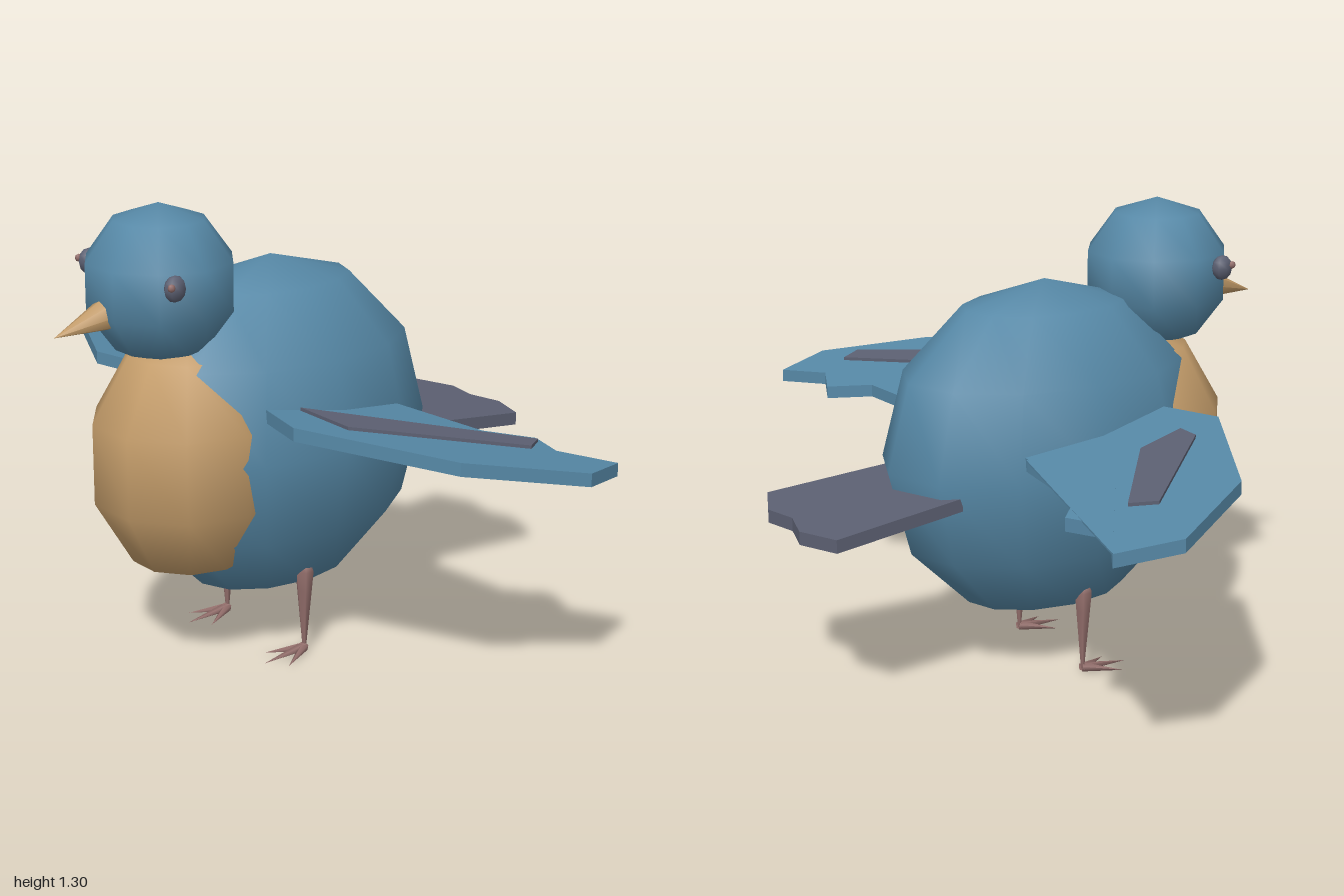
import * as THREE from 'three';

const mat = (name, color) => {
  const m = new THREE.MeshStandardMaterial({ color });
  m.name = name;
  return m;
};

export function createModel() {
  const bird = new THREE.Group();
  bird.name = 'bird';
  const blue = mat('blue plumage', 0x5688a6);
  const tan = mat('tan', 0xc29b69);
  const grey = mat('slate grey', 0x5c6072);
  const pink = mat('dusky pink', 0x946f6c);

  const add = (name, geometry, material, parent = bird) => {
    const mesh = new THREE.Mesh(geometry, material);
    mesh.name = name;
    parent.add(mesh);
    return mesh;
  };

  const ball = (name, material, center, radii, segments, rows, parent) => {
    const geometry = new THREE.SphereGeometry(1, segments, rows);
    geometry.scale(...radii);
    return add(name, geometry, material, parent).position.set(...center);
  };

  // Flat plate with an outline in x and z; its top lies at y = height + slope * z
  const plate = (name, outline, thickness, height, slope, material, side = 1) => {
    const shape = new THREE.Shape(outline.map(([x, z]) => new THREE.Vector2(x * side, z)));
    const geometry = new THREE.ExtrudeGeometry(shape, { depth: thickness, bevelEnabled: false });
    geometry.rotateX(Math.PI / 2);
    const p = geometry.attributes.position;
    for (let i = 0; i < p.count; i++) p.setY(i, p.getY(i) + height + slope * p.getZ(i));
    geometry.computeVertexNormals();
    return add(name, geometry, material);
  };

  // Cone from a base centre to a tip
  const spike = (name, base, tip, radius, sides, material, parent) => {
    const a = new THREE.Vector3(...base);
    const d = new THREE.Vector3(...tip).sub(a);
    const length = d.length();
    const geometry = new THREE.ConeGeometry(radius, length, sides);
    geometry.translate(0, length / 2, 0);
    const mesh = add(name, geometry, material, parent);
    mesh.quaternion.setFromUnitVectors(new THREE.Vector3(0, 1, 0), d.normalize());
    mesh.position.copy(a);
  };

  // Body, breast and head
  ball('body', blue, [0, 0.626, 0.05], [0.33, 0.485, 0.49], 12, 6);
  ball('breast', tan, [0, 0.6, 0.33], [0.27, 0.36, 0.288], 10, 5);
  ball('head', blue, [0, 1.09, 0.42], [0.212, 0.212, 0.21], 10, 5);
  spike('beak', [0, 1.04, 0.56], [0, 0.997, 0.75], 0.052, 8, tan);

  // Tail
  plate('tail', [
    [-0.19, -0.315], [-0.22, -0.7], [-0.1, -0.75], [0, -0.725],
    [0.1, -0.75], [0.22, -0.7], [0.19, -0.315],
  ], 0.037, 0.622, 0.094, grey);

  // Wing outline, from root round the trailing edge and tip
  const wing = [
    [0.2, -0.16], [0.29, -0.175], [0.58, -0.2], [0.68, -0.3], [0.8, -0.25],
    [0.94, -0.33], [1, -0.165], [0.83, 0.12], [0.44, 0.33], [0.26, 0.275], [0.2, 0.2],
  ];
  const patches = {
    left: [[0.3, 0.19], [0.79, -0.19], [0.83, -0.125], [0.5, 0.2]],
    right: [[0.45, 0.2], [0.5, 0.04], [0.79, -0.19], [0.83, -0.125], [0.52, 0.2]],
  };

  for (const [label, side] of [['left', 1], ['right', -1]]) {
    plate(`${label}Wing`, wing, 0.036, 0.733, 0.157, blue, side);
    plate(`${label}WingPatch`, patches[label], 0.009, 0.756, 0.1, grey, side);

    // Eye with a small glint
    ball(`${label}Eye`, grey, [side * 0.192, 1.125, 0.51], [0.023, 0.035, 0.032], 8, 6);
    ball(`${label}EyeGlint`, pink, [side * 0.208, 1.133, 0.532], [0.009, 0.011, 0.011], 6, 4);

    // Leg: tapered shank with three toes
    const leg = new THREE.Group();
    leg.name = `${label}Leg`;
    leg.position.set(side * 0.177, 0, 0.073);
    bird.add(leg);
    const profile = [[0.005, 0.01], [0.007, 0.03], [0.022, 0.19], [0.027, 0.245], [0.018, 0.27], [0, 0.272]];
    add('shank', new THREE.LatheGeometry(profile.map(([r, y]) => new THREE.Vector2(r, y)), 6), pink, leg);
    for (const [x, z] of [[-0.055, 0.1], [0, 0.143], [0.055, 0.1]]) {
      spike('toe', [0, 0.014, 0], [x, 0.003, z], 0.014, 5, pink, leg);
    }
  }

  // Covert feathers bridging the trailing edge of the right wing
  plate('rightWingCovert', [[0.29, -0.18], [0.94, -0.33], [0.6, -0.1]], 0.005, 0.734, 0.157, blue, -1);

  return bird;
}
